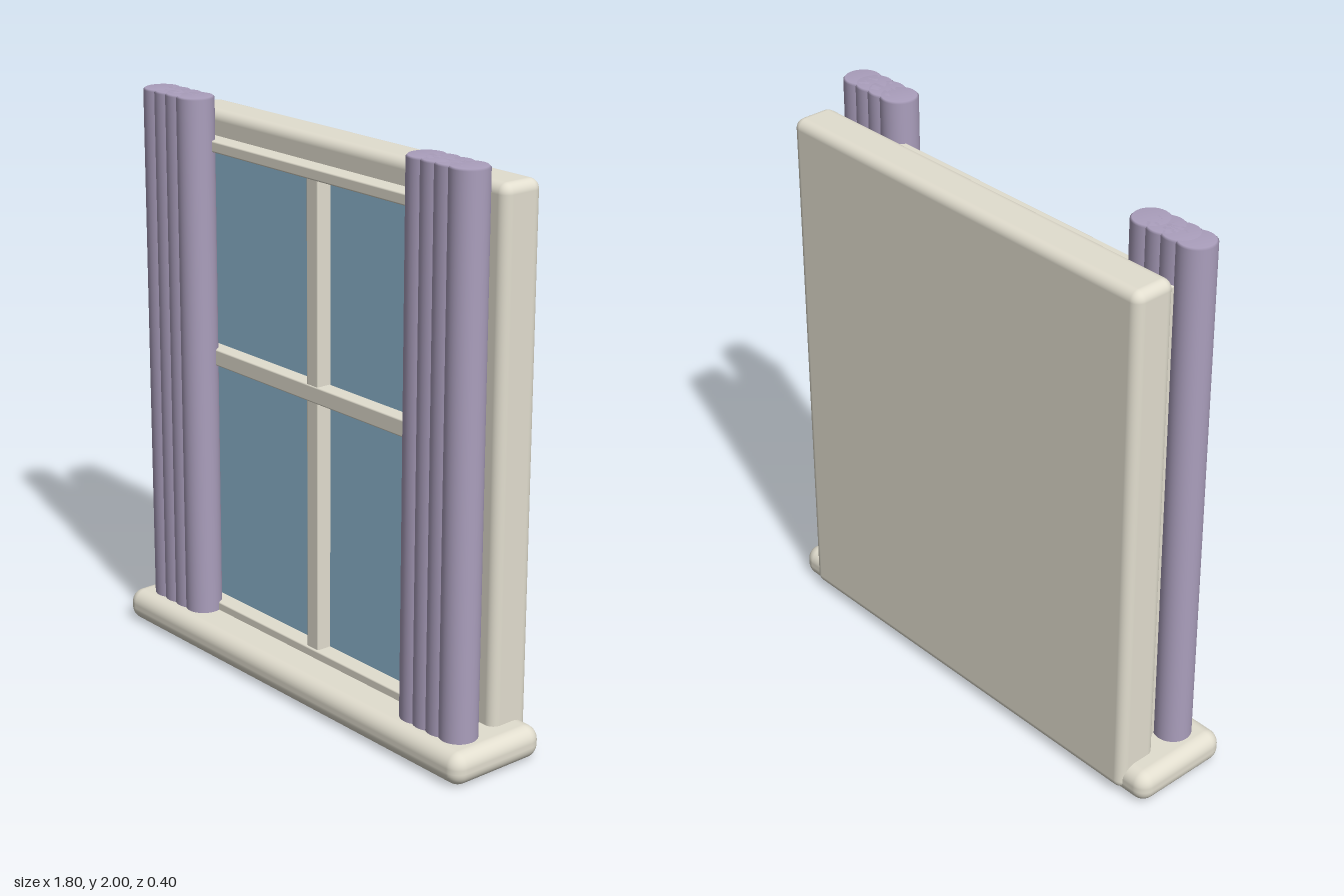
import * as THREE from 'three';
import { RoundedBoxGeometry } from 'three/addons/geometries/RoundedBoxGeometry.js';

const cream = new THREE.MeshStandardMaterial({ color: 0xe2decf });
const blue = new THREE.MeshStandardMaterial({ color: 0x8fb9d3 });
const purple = new THREE.MeshStandardMaterial({ color: 0xab9fbd });

// Rounded box given by its limits on each axis
function slab(name, [x0, x1], [y0, y1], [z0, z1], radius, material) {
  const geometry = new RoundedBoxGeometry(x1 - x0, y1 - y0, z1 - z0, 5, radius);
  const mesh = new THREE.Mesh(geometry, material);
  mesh.name = name;
  mesh.position.set((x0 + x1) / 2, (y0 + y1) / 2, (z0 + z1) / 2);
  return mesh;
}

// Curtain of four overlapping round folds with softened ends
function curtain(name, side) {
  const group = new THREE.Group();
  group.name = name;
  const r = 0.066, bottom = 0.1, top = 2, b = 0.006;
  const profile = [[0, bottom], [r - b, bottom], [r, bottom + b], [r, bottom + b],
    [r, top - b], [r, top - b], [r - b, top], [r - b, top], [0, top]]
    .map(([x, y]) => new THREE.Vector2(x, y));
  const unique = profile.filter((p, i) => i === 0 || !p.equals(profile[i - 1]));
  const geometry = new THREE.LatheGeometry(unique, 32);
  for (let i = 0; i < 4; i++) {
    const fold = new THREE.Mesh(geometry, purple);
    fold.name = 'curtainFold';
    fold.position.set(side * (0.586 + i * 0.0627), 0, 0.079);
    group.add(fold);
  }
  return group;
}

export function createModel() {
  const model = new THREE.Group();
  model.name = 'window';

  // Sill, backing panel and glass
  model.add(
    slab('sill', [-0.9, 0.9], [0, 0.115], [-0.185, 0.2], 0.05, cream),
    slab('backPanel', [-0.81, 0.81], [0.02, 1.925], [-0.2, -0.04], 0.035, cream),
    slab('glass', [-0.71, 0.71], [0.13, 1.83], [-0.035, -0.005], 0.013, blue)
  );

  // Outer sash frame
  const depth = [-0.012, 0.058];
  const frame = new THREE.Group();
  frame.name = 'sashFrame';
  frame.add(
    slab('topRail', [-0.745, 0.745], [1.81, 1.85], depth, 0.006, cream),
    slab('bottomRail', [-0.745, 0.745], [0.105, 0.145], depth, 0.006, cream)
  );
  for (const s of [-1, 1]) {
    const name = s > 0 ? 'leftStile' : 'rightStile';
    frame.add(slab(name, [s * 0.725 - 0.02, s * 0.725 + 0.02], [0.105, 1.85], depth, 0.006, cream));
  }

  // Crossing glazing bars
  frame.add(
    slab('verticalBar', [-0.03, 0.03], [0.11, 1.845], [-0.02, 0.05], 0.006, cream),
    slab('horizontalBar', [-0.735, 0.735], [1.045, 1.105], [-0.006, 0.053], 0.006, cream)
  );
  model.add(frame);

  model.add(curtain('leftCurtain', 1), curtain('rightCurtain', -1));
  return model;
}
